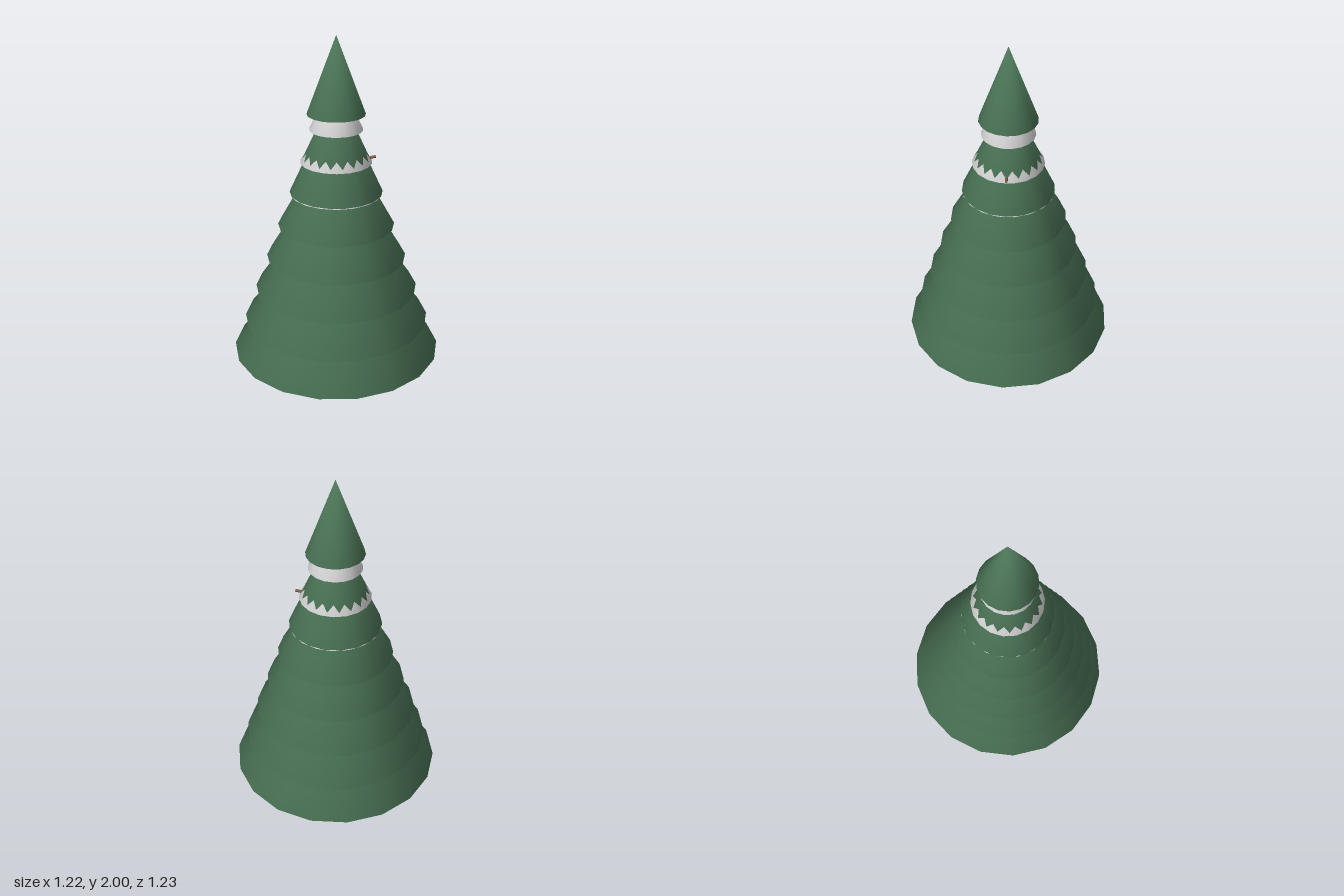
import * as THREE from 'three';
import { mergeVertices } from 'three/addons/utils/BufferGeometryUtils.js';

const SIDES = 18;

// Closed cone whose normals run smoothly around the rim; base sits at y = 0
function softCone(radius, height) {
  const geometry = new THREE.ConeGeometry(radius, height, SIDES);
  geometry.translate(0, height / 2, 0);
  geometry.deleteAttribute('normal');
  geometry.deleteAttribute('uv');
  const merged = mergeVertices(geometry, 1e-4);
  merged.computeVertexNormals();
  return merged;
}

export function createModel() {
  const group = new THREE.Group();
  const material = (name, color) => {
    const m = new THREE.MeshStandardMaterial({ color });
    m.name = name;
    return m;
  };
  const green = material('pine green', 0x4f7a5b);
  const white = material('snow white', 0xeeeeee);
  const brown = material('bark brown', 0x7d5c46);

  const add = (name, geometry, mat, y) => {
    const mesh = new THREE.Mesh(geometry, mat);
    mesh.name = name;
    mesh.position.y = y;
    group.add(mesh);
    return mesh;
  };

  // Branch tiers from the ground up: base height, radius, cone height
  const tiers = [
    [0.1, 0.617, 0.72],
    [0.3, 0.547, 0.69],
    [0.5, 0.477, 0.68],
    [0.7, 0.407, 0.67],
    [0.9, 0.337, 0.6],
    [1.1, 0.267, 0.58],
    [1.29, 0.195, 0.425],
    [1.56, 0.165, 0.44],
  ];
  tiers.forEach(([y, r, h], i) => add(`branchTier${i + 1}`, softCone(r, h), green, y));

  // Snow layers peeking out under the upper tiers
  const snow = [
    [1.094, 0.265, 0.5],
    [1.28, 0.205, 0.34],
    [1.47, 0.152, 0.32],
  ];
  snow.forEach(([y, r, h], i) => {
    const mesh = add(`snowLayer${i + 1}`, softCone(r, h), white, y);
    mesh.rotation.y = Math.PI / SIDES;
  });

  // Trunk
  add('trunk', new THREE.CylinderGeometry(0.06, 0.06, 0.14, SIDES), brown, 0.07);

  // Small twig poking out through the snow
  const twig = add('twig', new THREE.CylinderGeometry(0.008, 0.008, 0.07, 8), brown, 1.302);
  const outward = new THREE.Vector3(0.87, 0.2, 0.5).normalize();
  twig.quaternion.setFromUnitVectors(new THREE.Vector3(0, 1, 0), outward);
  twig.position.x = 0.165;
  twig.position.z = 0.095;

  return group;
}
